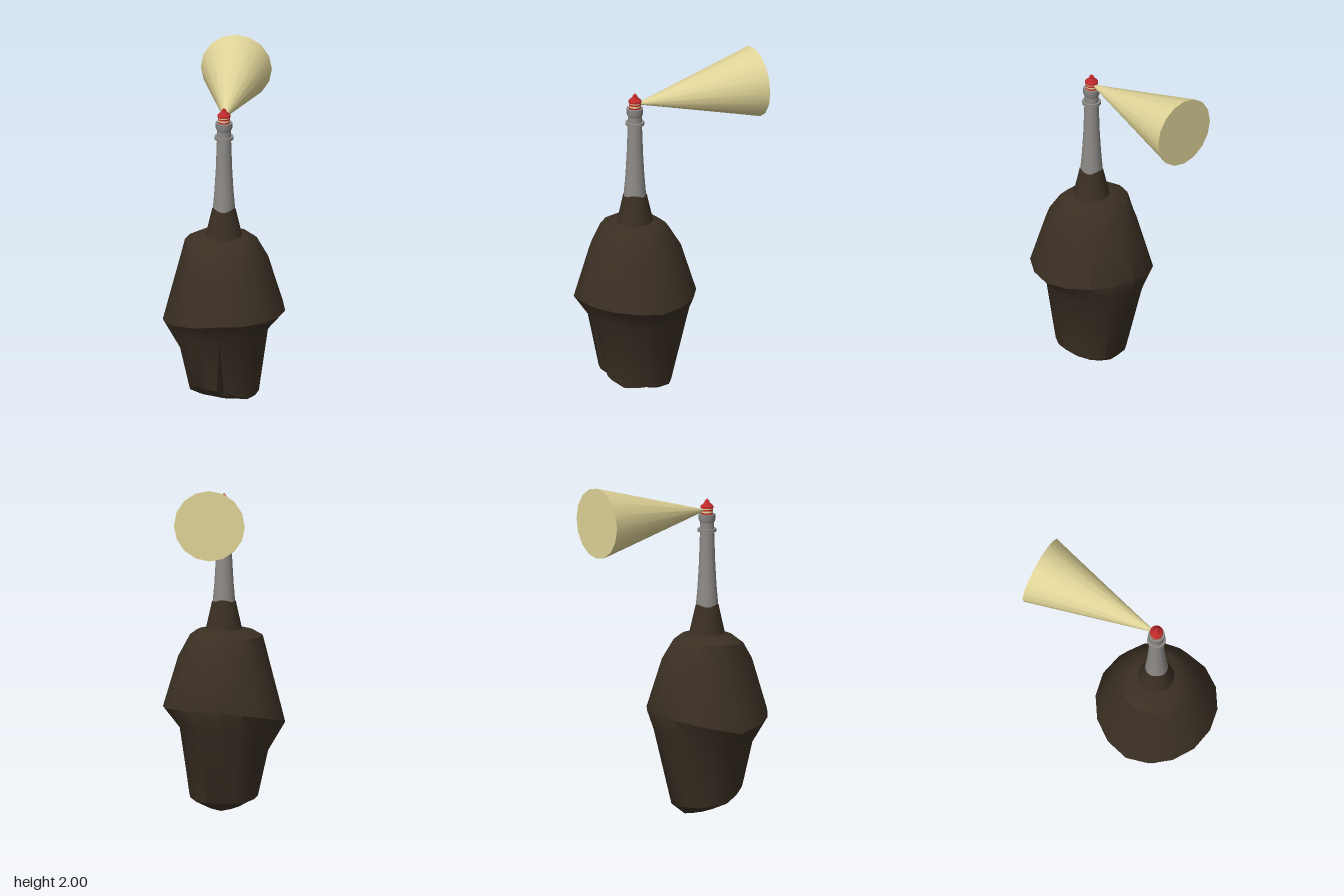
import * as THREE from 'three';
import { toCreasedNormals } from 'three/addons/utils/BufferGeometryUtils.js';

const AXIS_Z = 0.21; // the rock and tower stand forward of the centre

const material = (name, color) => {
  const m = new THREE.MeshStandardMaterial({ color });
  m.name = name;
  return m;
};

// Periodic smooth interpolation of values spaced evenly around the rock, starting at +x and going to +z.
function around(values, angle) {
  if (!Array.isArray(values)) return values;
  const n = values.length;
  const t = (((angle / (Math.PI * 2)) % 1) + 1) % 1 * n;
  const i = Math.floor(t);
  const f = (1 - Math.cos((t - i) * Math.PI)) / 2;
  return values[i % n] * (1 - f) + values[(i + 1) % n] * f;
}

// Rock cross-sections from the top down: radius, height, depth of the front cleft.
const ROCK = [
  [0, 1.06, 0],
  [0.11, 1.06, 0],
  [[0.16, 0.14, 0.17, 0.15], 1.05, 0],
  [[0.2, 0.2, 0.23, 0.2], [1.02, 1.0, 1.02, 1.01], 0],
  [[0.27, 0.27, 0.26, 0.27], [0.89, 0.9, 0.9, 0.9], 0],
  [0.36, [0.59, 0.61, 0.615, 0.57, 0.51, 0.57, 0.615, 0.61], 0],
  [[0.26, 0.28, 0.26, 0.33], [0.48, 0.5, 0.34, 0.5], 0],
  [[0.205, 0.215, 0.2, 0.215], [0.08, 0.08, 0.15, 0.15, 0.07, 0.05, 0.05, 0.05], 0.11],
  [[0.13, 0.14, 0.13, 0.16], [0.05, 0.06, 0.09, 0.08, 0.045, 0.02, 0, 0.02], 0.05],
  [0, 0.02, 0],
];

function rockGeometry() {
  // Sixteen columns, with the front one tripled to form the cleft.
  const columns = [];
  for (let k = 0; k < 16; k++) {
    const angle = (k * Math.PI) / 8;
    if (k === 4) {
      for (const [offset, inset] of [[-0.24, 0], [-0.05, 1], [0.1, 0]]) columns.push({ angle, offset, inset });
    } else columns.push({ angle, offset: 0, inset: 0 });
  }
  const n = columns.length;
  const positions = [];
  const index = [];
  ROCK.forEach(([radius, height, cleft], i) => {
    columns.forEach(({ angle, offset, inset }, j) => {
      const a = angle + offset * (cleft ? 1 : 0.04);
      const r = Math.max(around(radius, a) - cleft * inset, 0);
      positions.push(Math.cos(a) * r, around(height, a), Math.sin(a) * r);
      if (i === ROCK.length - 1) return;
      const p = i * n + j, q = i * n + (j + 1) % n;
      if (i > 0) index.push(p, q, p + n);
      if (i < ROCK.length - 2) index.push(q, q + n, p + n);
    });
  });
  // Close the last ring onto the bottom point.
  const geometry = new THREE.BufferGeometry();
  geometry.setAttribute('position', new THREE.Float32BufferAttribute(positions, 3));
  geometry.setIndex(index);
  return toCreasedNormals(geometry, 0.65);
}

const lathe = (points, sides = 24) =>
  toCreasedNormals(new THREE.LatheGeometry(points.map(([r, y]) => new THREE.Vector2(r, y)), sides), 0.6);

export function createModel() {
  const model = new THREE.Group();
  model.name = 'lighthouseOnRock';
  const rockBrown = material('rock brown', 0x3a2f23);
  const stoneGrey = material('stone grey', 0x8c8986);
  const lampRed = material('lamp red', 0xc02a2c);
  const lightCream = material('light cream', 0xe0d498);

  const add = (name, geometry, mat) => {
    const mesh = new THREE.Mesh(geometry, mat);
    mesh.name = name;
    mesh.position.z = AXIS_Z;
    model.add(mesh);
    return mesh;
  };

  add('rock', rockGeometry(), rockBrown);

  // Rocky collar with an uneven upper rim
  const collar = new THREE.CylinderGeometry(0.068, 0.112, 0.19, 16, 1, true);
  collar.translate(0, 1.13, 0);
  const p = collar.attributes.position;
  for (let i = 0; i < p.count; i++) {
    if (p.getY(i) > 1.2) p.setY(i, 1.228 + 0.008 * Math.sin(3 * Math.atan2(p.getZ(i), p.getX(i))));
  }
  add('rockCollar', collar, rockBrown);

  // Tapered tower with two mouldings and the gallery
  add('tower', lathe([[0.068, 1.19], [0.0655, 1.23], [0.056, 1.34], [0.048, 1.48], [0.042, 1.66], [0.041, 1.73]]), stoneGrey);
  add('towerMoulding', lathe([[0.04, 1.664], [0.055, 1.664], [0.055, 1.682], [0.04, 1.682]]), stoneGrey);
  add('gallery', lathe([[0.04, 1.715], [0.049, 1.735], [0.049, 1.768], [0, 1.768]]), stoneGrey);

  // Lantern in alternating bands
  for (let i = 0; i < 4; i++) {
    const band = new THREE.CylinderGeometry(0.036, 0.036, 0.01, 16);
    band.translate(0, 1.772 + i * 0.01, 0);
    add('lanternBand', band, i % 2 ? lightCream : lampRed);
  }

  // Stepped roof and finial
  add('lanternRoof', lathe([
    [0, 1.804], [0.039, 1.804], [0.039, 1.814], [0.016, 1.836], [0.014, 1.842],
    [0.012, 1.85], [0.004, 1.853], [0, 1.865],
  ], 16), lampRed);

  // Beam of light towards the back
  const beam = new THREE.ConeGeometry(0.209, 0.785, 16);
  beam.translate(0, -0.3925, 0);
  beam.rotateX(Math.PI / 2);
  add('lightBeam', beam, lightCream).position.y = 1.792;

  return model;
}
